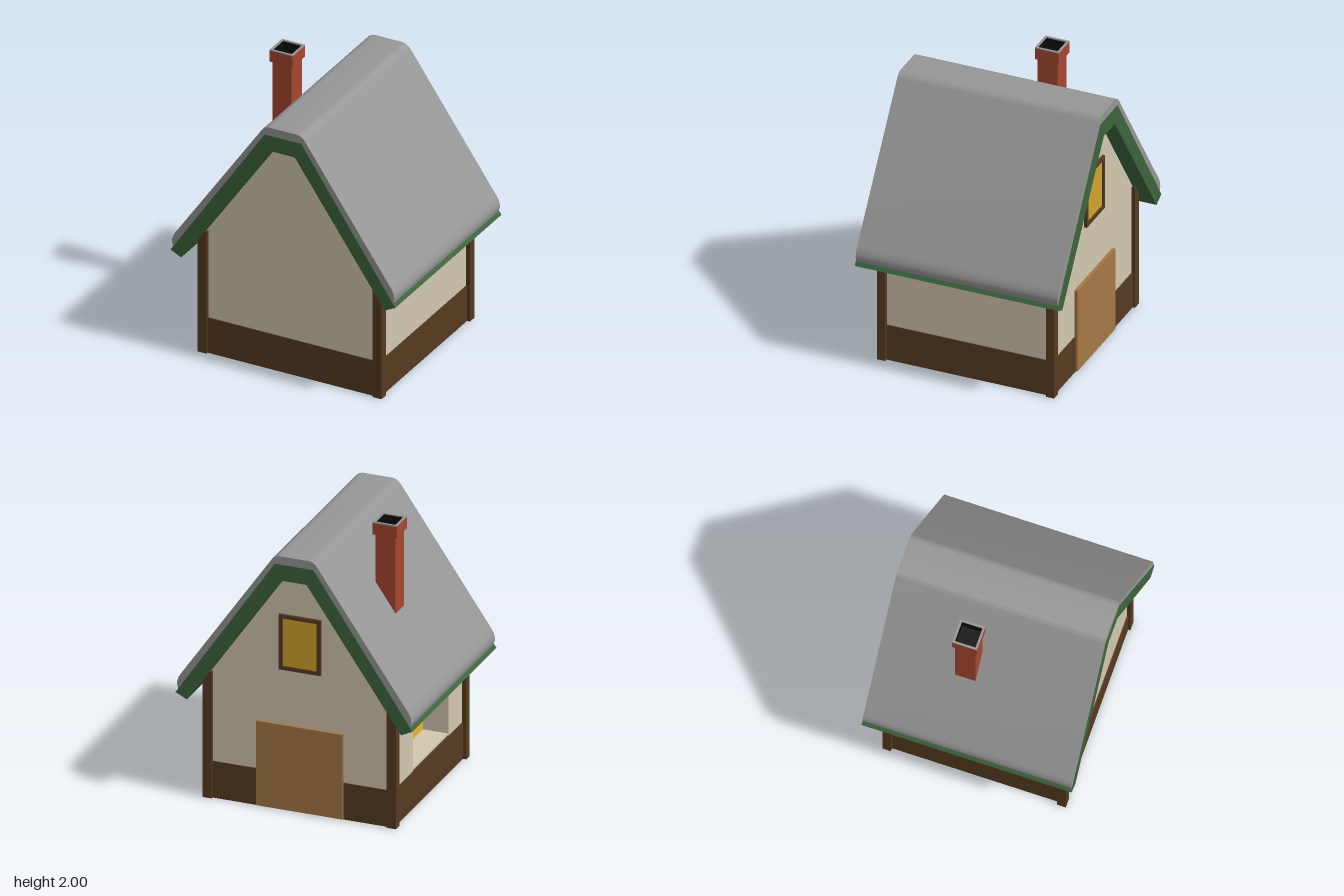
import * as THREE from 'three';
import { toCreasedNormals } from 'three/addons/utils/BufferGeometryUtils.js';

const mat = (name, color, side = THREE.FrontSide) => {
  const m = new THREE.MeshStandardMaterial({ color, side });
  m.name = name;
  return m;
};

export function createModel() {
  const house = new THREE.Group();
  house.name = 'cottage';
  const plaster = mat('plaster', 0xd2c8b0);
  const timber = mat('dark timber', 0x573a21);
  const green = mat('green trim', 0x3c643d);
  const slate = mat('grey roof', 0x969696);
  const brick = mat('red brick', 0xa5472f);
  const soot = mat('soot', 0x0c0c0c);
  const doorWood = mat('door wood', 0xa67744);
  const glow = mat('warm yellow', 0xd2a42e);

  const add = (name, geo, material, parent = house) => {
    const mesh = new THREE.Mesh(geo, material);
    mesh.name = name;
    parent.add(mesh);
    return mesh;
  };
  // box given by its limits on each axis
  const box = (name, material, [x0, x1], [y0, y1], [z0, z1], parent) => {
    const mesh = add(name, new THREE.BoxGeometry(x1 - x0, y1 - y0, z1 - z0), material, parent);
    mesh.position.set((x0 + x1) / 2, (y0 + y1) / 2, (z0 + z1) / 2);
    return mesh;
  };
  // outline extruded along z, centred on the given z
  const prism = (name, material, shape, depth, z = 0, crease = 0) => {
    let geo = new THREE.ExtrudeGeometry(shape, { depth, bevelEnabled: false });
    geo.translate(0, 0, z - depth / 2);
    if (crease) geo = toCreasedNormals(geo, crease);
    return add(name, geo, material);
  };
  // closed symmetric strip: outer half runs eave to ridge, inner half ridge to eave
  const strip = (outer, inner) => {
    const flip = (pts) => pts.map(([x, y]) => [-x, y]).reverse();
    const pts = [...outer, ...flip(outer), ...flip(inner), ...inner];
    return new THREE.Shape(pts.map(([x, y]) => new THREE.Vector2(x, y)));
  };

  // corner posts
  for (const sx of [-1, 1]) for (const sz of [-1, 1]) {
    box('cornerPost', timber, [-0.0335, 0.0335], [0, 0.92], [-0.03, 0.03])
      .position.set(sx * 0.6615, 0.46, sz * 0.614);
  }

  // gable walls and base boards
  const gable = new THREE.Shape([
    [-0.65, 0.25], [0.65, 0.25], [0.65, 0.93], [0.1, 1.74], [-0.1, 1.74], [-0.65, 0.93],
  ].map(([x, y]) => new THREE.Vector2(x, y)));
  for (const s of [-1, 1]) {
    prism('gableWall', plaster, gable, 0.03, s * 0.605);
    box('gableBaseBoard', timber, [-0.64, 0.64], [0, 0.265], [s * 0.61 - 0.018, s * 0.61 + 0.018]);
    box('sideBaseBoard', timber, [s * 0.655 - 0.018, s * 0.655 + 0.018], [0, 0.265], [-0.6, 0.6]);
  }

  // side walls, one with a deep window opening
  const hole = { y: [0.28, 0.72], z: [-0.27, 0.35] };
  box('leftWall', plaster, [0.635, 0.665], [0.25, 0.9], [-0.6, 0.6]);
  box('rightWallRear', plaster, [-0.665, -0.635], [0.25, 0.9], [-0.6, hole.z[0]]);
  box('rightWallFront', plaster, [-0.665, -0.635], [0.25, 0.9], [hole.z[1], 0.6]);
  box('rightWallLintel', plaster, [-0.665, -0.635], [hole.y[1], 0.9], hole.z);

  // hollow box open on the window side, made of five plates
  const niche = (name, material, x0, x1, y, z, t, hasBack) => {
    const g = new THREE.Group();
    g.name = name;
    house.add(g);
    const X = [x0, x1], zo = [z[0] - t, z[1] + t];
    box('bottom', material, X, [y[0] - t, y[0]], zo, g);
    box('top', material, X, [y[1], y[1] + t], zo, g);
    box('rearEnd', material, X, y, [z[0] - t, z[0]], g);
    box('frontEnd', material, X, y, [z[1], z[1] + t], g);
    if (hasBack) box('back', material, [x1 - t, x1], y, z, g);
  };
  niche('windowReveal', plaster, -0.66, -0.48, hole.y, hole.z, 0.02, false);
  niche('lightBox', glow, -0.48, -0.3, [0.28, 0.74], [-0.42, 0.48], 0.015, true);

  // green roof frame
  prism('roofFrame', green, strip(
    [[0.85, 0.775], [0.138, 1.83]],
    [[0.09, 1.715], [0.77, 0.735]],
  ), 1.474);

  // grey roof covering with rounded eaves and ridge
  const edge = new THREE.Path();
  edge.moveTo(0.83, 0.795);
  edge.lineTo(0.838, 0.82);
  edge.quadraticCurveTo(0.85, 0.862, 0.812, 0.917);
  edge.lineTo(0.165, 1.852);
  edge.quadraticCurveTo(0.14, 1.889, 0.1, 1.889);
  const outer = edge.getPoints(5).map((p) => [p.x, p.y]);
  prism('roofCovering', slate, strip(outer, [[0.13, 1.82], [0.82, 0.8]]), 1.466, 0, 0.6);

  // door and gable window at the back
  box('door', doorWood, [-0.31, 0.31], [0.005, 0.62], [-0.643, -0.6]);
  const wz = [-0.64, -0.61];
  for (const s of [-1, 1]) {
    box('windowFrameSide', timber, [s * 0.137 - 0.013, s * 0.137 + 0.013], [1.02, 1.42], wz);
    box('windowFrameRail', timber, [-0.124, 0.124], [1.22 + s * 0.187 - 0.013, 1.22 + s * 0.187 + 0.013], wz);
  }
  box('windowPane', glow, [-0.126, 0.126], [1.03, 1.41], [-0.628, -0.62]);

  // chimney: shaft, hollow cap, grey rim and dark flue
  const square = (r) => [[-r, -r], [r, -r], [r, r], [-r, r]].map(([x, y]) => new THREE.Vector2(x, y));
  const ring = (name, material, r, hole, y, h) => {
    const shape = new THREE.Shape(square(r));
    shape.holes.push(new THREE.Path(square(hole)));
    const geo = new THREE.ExtrudeGeometry(shape, { depth: h, bevelEnabled: false });
    geo.rotateX(-Math.PI / 2);
    add(name, geo, material).position.set(-0.437, y, -0.126);
  };
  box('chimneyShaft', brick, [-0.51, -0.364], [1.15, 1.92], [-0.199, -0.053]);
  ring('chimneyCap', brick, 0.087, 0.074, 1.91, 0.082);
  ring('chimneyRim', slate, 0.087, 0.072, 1.992, 0.008);
  ring('flueLining', soot, 0.0745, 0.07, 1.92, 0.072);
  box('flueBottom', soot, [-0.509, -0.365], [1.918, 1.925], [-0.198, -0.054]);

  return house;
}
